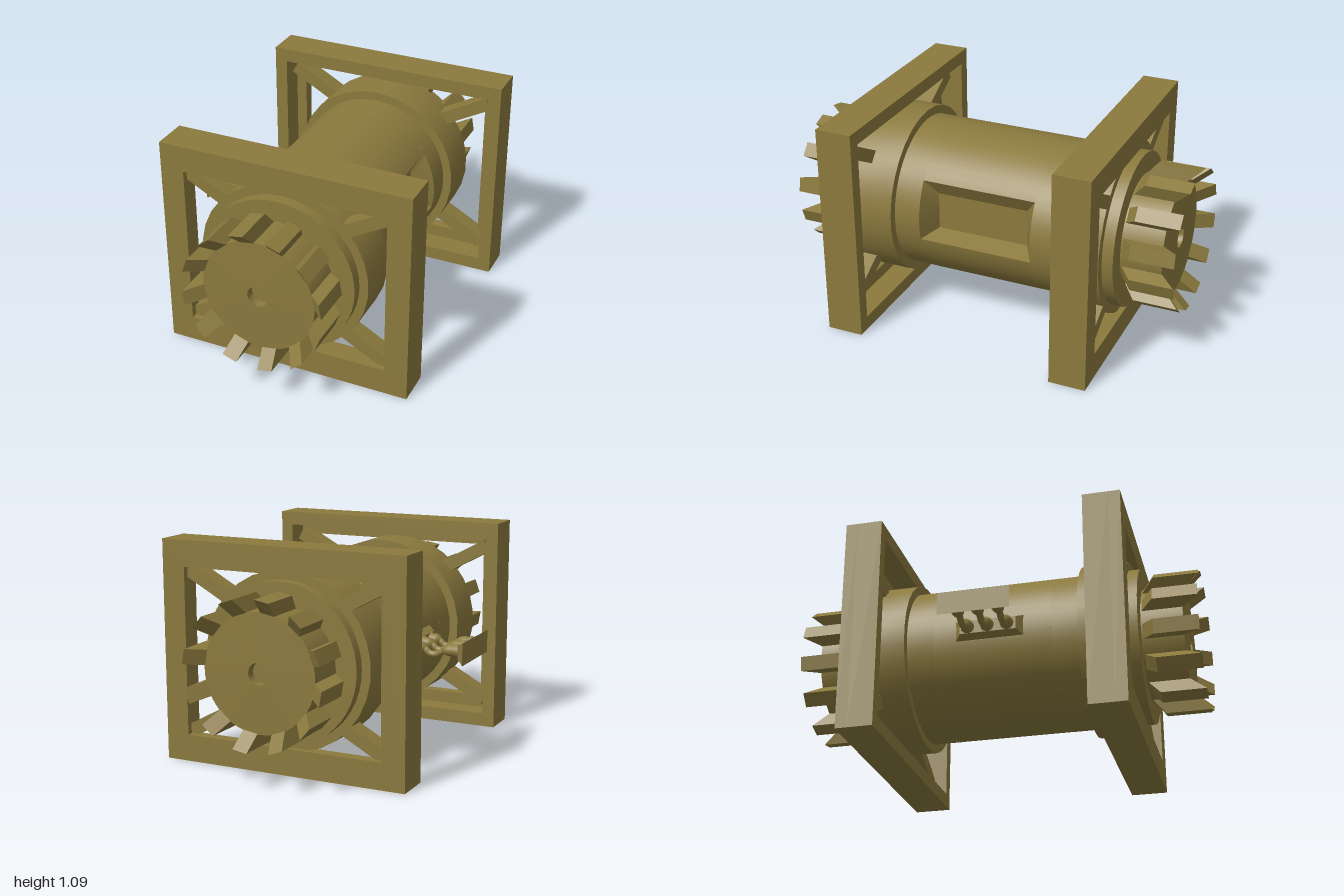
import * as THREE from 'three';
import { toCreasedNormals } from 'three/addons/utils/BufferGeometryUtils.js';

const CX = 0.02, CY = 0.547, R = 0.39; // drum axis and radius
const material = new THREE.MeshStandardMaterial({ color: 0x8b7a3e });
const doubleSided = new THREE.MeshStandardMaterial({ color: 0x8b7a3e, side: THREE.DoubleSide });

function add(parent, name, geometry, mat = material) {
  const mesh = new THREE.Mesh(geometry, mat);
  mesh.name = name;
  parent.add(mesh);
  return mesh;
}

// Surface of revolution about z; s = 1 faces the front, s = -1 the back
function turned(points, s, segments = 48) {
  const g = new THREE.LatheGeometry(points.map(p => new THREE.Vector2(...p)), segments);
  return toCreasedNormals(g, 0.6).rotateX(s * Math.PI / 2);
}

function rectPath(path, x0, y0, x1, y1) {
  path.moveTo(x0, y0);
  path.lineTo(x1, y0);
  path.lineTo(x1, y1);
  path.lineTo(x0, y1);
  path.closePath();
  return path;
}

// Rectangular frame with a rectangular opening, between two depths
function frameSlab(hole, za, zb) {
  const shape = rectPath(new THREE.Shape(), -0.6, 0, 0.67, 1.093);
  shape.holes.push(rectPath(new THREE.Path(), ...hole));
  const g = new THREE.ExtrudeGeometry(shape, { depth: Math.abs(zb - za), bevelEnabled: false });
  return g.translate(0, 0, Math.min(za, zb));
}

// Block whose +x face is scaled differently from its -x face
function flaredPlate(x0, x1, h0, h1, w0, w1) {
  const g = new THREE.BoxGeometry(x1 - x0, 1, 1);
  const p = g.attributes.position;
  for (let i = 0; i < p.count; i++) {
    const inner = p.getX(i) > 0;
    p.setY(i, p.getY(i) * (inner ? h1 : h0));
    p.setZ(i, p.getZ(i) * (inner ? w1 : w0));
  }
  g.translate((x0 + x1) / 2, 0.55, -0.01);
  g.computeVertexNormals();
  return g;
}

// Tapered pocket running from the curved skin in to a flat floor
function pocketGeometry(a0, a1, zo) {
  const n = 10, floorX = 0.3, zi = 0.237;
  const outer = [], inner = [];
  for (const side of [1, -1]) {
    for (let i = 0; i <= n; i++) {
      const t = side > 0 ? i / n : 1 - i / n, a = a0 + (a1 - a0) * t;
      outer.push([CX + R * Math.cos(a), CY + R * Math.sin(a), side * zo]);
      inner.push([floorX, 0.49 + 0.19 * t, side * zi]);
    }
  }
  const pos = [], m = outer.length;
  for (let i = 0; i < m; i++) {
    const j = (i + 1) % m;
    pos.push(...outer[i], ...inner[j], ...inner[i], ...outer[i], ...outer[j], ...inner[j]);
  }
  const [a, b, c, d] = [inner[0], inner[n], inner[n + 1], inner[m - 1]];
  pos.push(...a, ...c, ...b, ...a, ...d, ...c);
  const g = new THREE.BufferGeometry();
  g.setAttribute('position', new THREE.Float32BufferAttribute(pos, 3));
  g.computeVertexNormals();
  return toCreasedNormals(g, 0.5);
}

// Frame, collar, end drum and teeth for one end
function buildEnd(s) {
  const end = new THREE.Group();
  end.name = s > 0 ? 'frontEnd' : 'backEnd';

  add(end, 'frameLip', frameSlab([-0.48, 0.133, 0.552, 0.963], s * 0.63, s * 0.69));
  add(end, 'frameRim', frameSlab([-0.535, 0.07, 0.605, 1.023], s * 0.505, s * 0.63));

  // Diagonal braces from the corners to the collar
  for (const sx of [-1, 1]) {
    for (const sy of [-1, 1]) {
      const brace = add(end, 'brace', new THREE.BoxGeometry(0.4, 0.066, 0.09));
      brace.position.set(0.035 + sx * 0.375, 0.547 + sy * 0.323, s * 0.615);
      brace.rotation.z = sx * sy * 0.5;
    }
  }

  const round = new THREE.Group();
  round.name = 'endDrum';
  round.position.set(CX, CY, 0);
  end.add(round);
  add(round, 'collar', turned([[0.38, 0.43], [0.435, 0.43], [0.435, 0.66], [0.38, 0.66]], s, 30));
  add(round, 'sleeve', turned([[R, 0.295], [R, 0.715], [0.25, 0.715]], s));
  add(round, 'drum', turned([[0.285, 0.71], [0.285, 0.92], [0.052, 0.925], [0.052, 0.88], [0, 0.88]], s));

  // Teeth: a slanted profile in radius and depth, repeated around the drum
  const profile = [[0.26, 0.715], [0.275, 0.715], [0.355, 0.78], [0.355, 1], [0.28, 0.92], [0.26, 0.91]];
  const shape = new THREE.Shape(profile.map(([r, z]) => new THREE.Vector2(r, s * z)));
  const tooth = new THREE.ExtrudeGeometry(shape, { depth: 0.074, bevelEnabled: false });
  tooth.translate(0, 0, -0.037).rotateX(Math.PI / 2);
  for (let i = 0; i < 12; i++) {
    add(round, 'tooth', tooth).rotation.z = (10 + 30 * i) * Math.PI / 180;
  }
  return end;
}

// Side handle: two flared plates joined by three sagging pipes
function buildPipeBracket() {
  const bracket = new THREE.Group();
  bracket.name = 'pipeBracket';
  add(bracket, 'outerPlate', flaredPlate(-0.675, -0.638, 0.112, 0.064, 0.35, 0.28));
  add(bracket, 'wallPlate', flaredPlate(-0.403, -0.36, 0.064, 0.112, 0.28, 0.35));

  const knob = new THREE.LatheGeometry(
    [[0.03, 0], [0.034, 0.02], [0.028, 0.035], [0.031, 0.055], [0.026, 0.08], [0.012, 0.1]]
      .map(p => new THREE.Vector2(...p)), 14);
  const sag = new THREE.CatmullRomCurve3([
    [-0.575, 0.55], [-0.545, 0.54], [-0.51, 0.522], [-0.478, 0.525], [-0.455, 0.543], [-0.43, 0.55],
  ].map(([x, y]) => new THREE.Vector3(x, y, 0)));
  const pipe = new THREE.TubeGeometry(sag, 20, 0.017, 10);

  for (const z of [-0.11, -0.012, 0.086]) {
    add(bracket, 'pipe', pipe).position.z = z;
    const outer = add(bracket, 'outerKnob', knob, doubleSided);
    outer.position.set(-0.64, 0.55, z);
    outer.rotation.z = -Math.PI / 2;
    const inner = add(bracket, 'innerKnob', knob, doubleSided);
    inner.position.set(-0.395, 0.55, z);
    inner.rotation.z = Math.PI / 2;
    inner.scale.y = 0.65;
  }
  return bracket;
}

export function createModel() {
  const model = new THREE.Group();
  model.name = 'toothedDrum';

  // Central barrel, left open where the side pocket sits
  const a0 = Math.asin((0.46 - CY) / R), a1 = Math.asin((0.76 - CY) / R), zo = 0.295;
  const barrel = new THREE.CylinderGeometry(R, R, zo * 2, 48, 1, true,
    a1 + Math.PI / 2, Math.PI * 2 - (a1 - a0));
  add(model, 'barrel', barrel.rotateX(Math.PI / 2).translate(CX, CY, 0), doubleSided);
  add(model, 'sidePocket', pocketGeometry(a0, a1, zo), doubleSided);

  model.add(buildEnd(1), buildEnd(-1), buildPipeBracket());
  return model;
}
